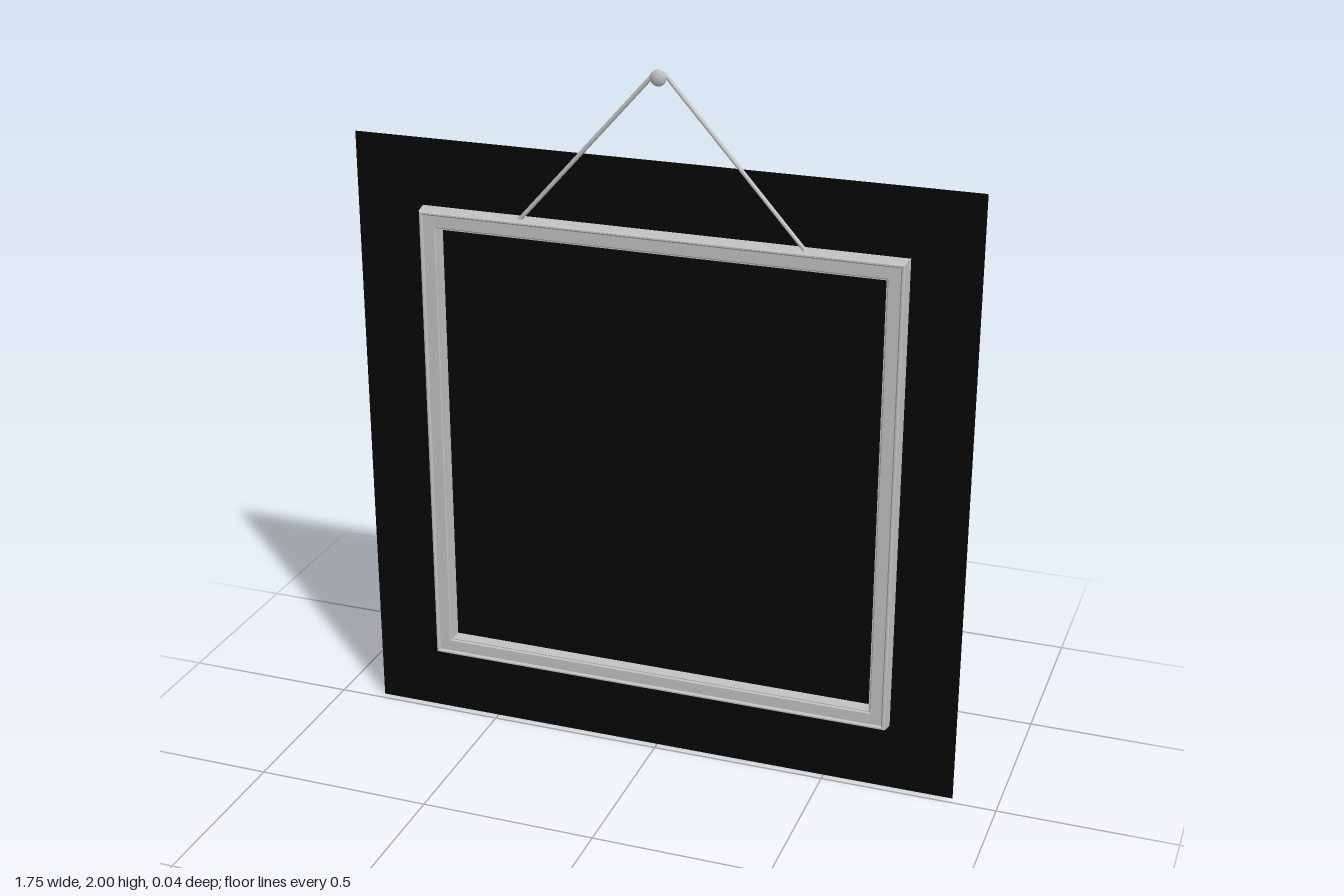
import * as THREE from 'three';

const silver = new THREE.MeshStandardMaterial({ color: 0xc0c0c0 });
silver.name = 'silver grey';
const black = new THREE.MeshStandardMaterial({ color: 0x060606, side: THREE.DoubleSide });
black.name = 'black';

const BACK = -0.022;

// Sweeps a closed moulding profile [inset, z] around a mitred rectangle
function mouldingGeometry(halfW, halfH, profile) {
  const corners = [[-1, -1], [1, -1], [1, 1], [-1, 1]];
  const point = (c, [inset, z]) => [c[0] * (halfW - inset), c[1] * (halfH - inset), z];
  const positions = [];
  profile.forEach((p, i) => {
    const q = profile[(i + 1) % profile.length];
    corners.forEach((c, k) => {
      const d = corners[(k + 1) % 4];
      const [a, b, e, f] = [point(c, p), point(d, p), point(d, q), point(c, q)];
      positions.push(...a, ...b, ...e, ...a, ...e, ...f);
    });
  });
  const geometry = new THREE.BufferGeometry();
  geometry.setAttribute('position', new THREE.Float32BufferAttribute(positions, 3));
  geometry.computeVertexNormals();
  return geometry;
}

export function createModel() {
  const model = new THREE.Group();
  model.name = 'hangingFrame';
  const add = (name, geometry, material, x, y, z) => {
    const mesh = new THREE.Mesh(geometry, material);
    mesh.name = name;
    mesh.position.set(x, y, z);
    model.add(mesh);
    return mesh;
  };

  // Flat backing sheet
  add('backing', new THREE.PlaneGeometry(1.746, 1.75), black, 0, 0.875, BACK);

  // Mitred moulding with a raised outer lip and a stepped inner edge
  const profile = [
    [0, BACK + 0.0004], [0.005, 0.016], [0.008, 0.02], [0.012, 0.02], [0.016, 0.015],
    [0.048, 0.015], [0.051, 0.011], [0.054, 0.011], [0.057, BACK + 0.0004],
  ];
  add('frame', mouldingGeometry(0.682, 0.682, profile), silver, 0.003, 0.878, 0);

  // Cord looped over the nail
  const nailX = 0.013, nailY = 1.978, cordZ = -0.003;
  const v = (x, y) => new THREE.Vector3(x, y, cordZ);
  const cord = new THREE.CurvePath();
  const leftBend = v(nailX - 0.022, 1.977), rightBend = v(nailX + 0.022, 1.977);
  cord.add(new THREE.LineCurve3(v(-0.39, 1.55), leftBend));
  cord.add(new THREE.QuadraticBezierCurve3(leftBend, v(nailX, 2.002), rightBend));
  cord.add(new THREE.LineCurve3(rightBend, v(0.416, 1.55)));
  add('cord', new THREE.TubeGeometry(cord, 80, 0.006, 8), silver, 0, 0, 0);

  // Nail with a shallow domed head
  const shaft = new THREE.CylinderGeometry(0.007, 0.007, 0.034, 12).rotateX(Math.PI / 2);
  add('nailShaft', shaft, silver, nailX, nailY, -0.005);
  const head = [[0, 0], [0.022, 0], [0.022, 0.003], [0.017, 0.007], [0.009, 0.01], [0, 0.011]]
    .map(([r, h]) => new THREE.Vector2(r, h));
  add('nailHead', new THREE.LatheGeometry(head, 20).rotateX(Math.PI / 2), silver, nailX, nailY, 0.008);

  return model;
}
